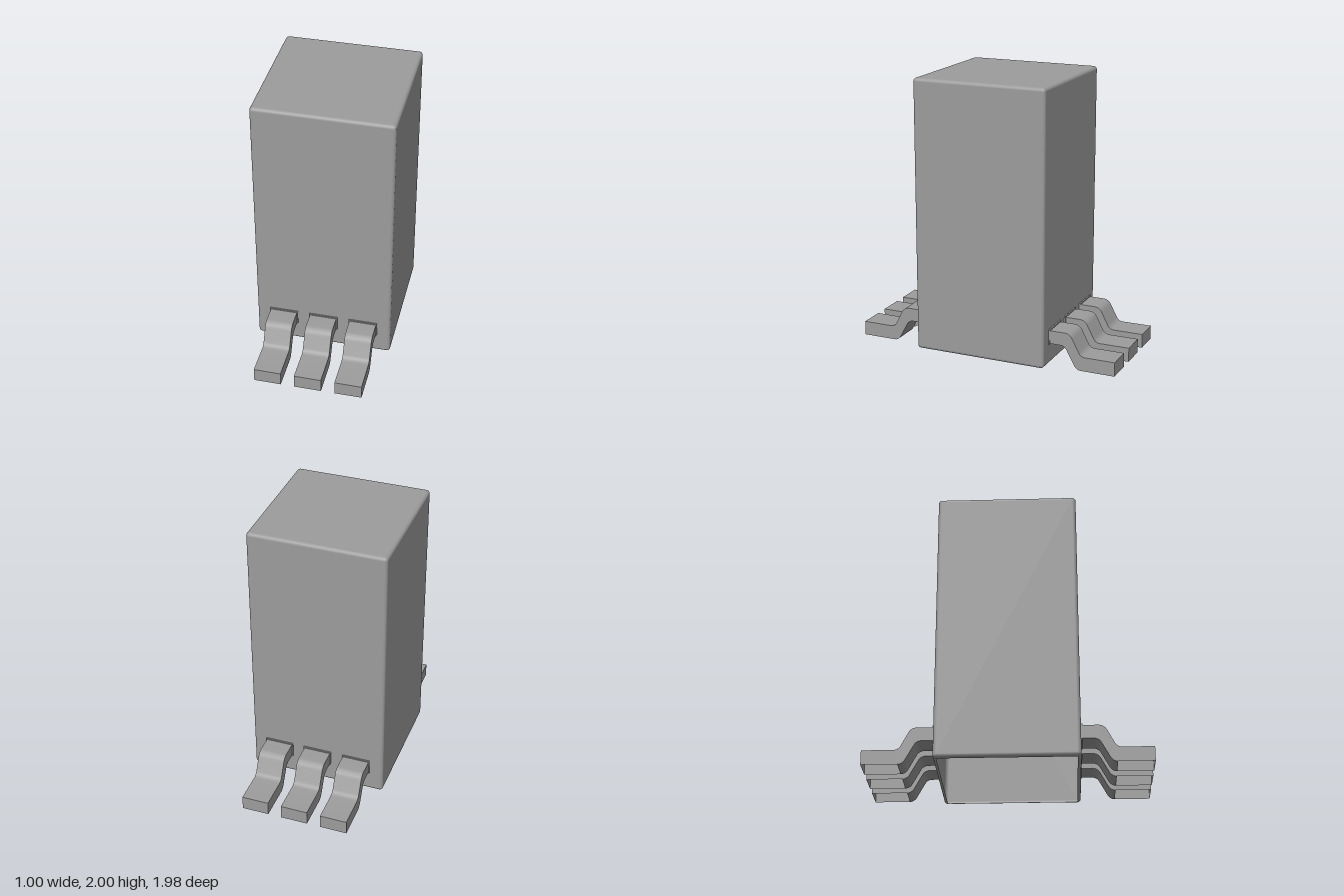
import * as THREE from 'three';
import { toCreasedNormals } from 'three/addons/utils/BufferGeometryUtils.js';
import { RoundedBoxGeometry } from 'three/addons/geometries/RoundedBoxGeometry.js';

const material = new THREE.MeshStandardMaterial({ color: 0x9c9c9c, side: THREE.DoubleSide });

// Drops the flat faces lying on the lowest level, leaving the shell open below
function openBottom(source) {
  const geo = source.index ? source.toNonIndexed() : source;
  geo.computeBoundingBox();
  const floor = geo.boundingBox.min.y + 1e-4;
  const pos = geo.attributes.position, nor = geo.attributes.normal;
  const p = [], n = [];
  for (let i = 0; i < pos.count; i += 3) {
    if ([0, 1, 2].every(k => pos.getY(i + k) < floor)) continue;
    for (let k = i; k < i + 3; k++) {
      p.push(pos.getX(k), pos.getY(k), pos.getZ(k));
      n.push(nor.getX(k), nor.getY(k), nor.getZ(k));
    }
  }
  const out = new THREE.BufferGeometry();
  out.setAttribute('position', new THREE.Float32BufferAttribute(p, 3));
  out.setAttribute('normal', new THREE.Float32BufferAttribute(n, 3));
  return out;
}

// Gull-wing lead: side profile swept across its width
function leadGeometry(width) {
  const s = new THREE.Shape();
  s.moveTo(0.496, 0.167);
  s.lineTo(0.58, 0.167);
  s.quadraticCurveTo(0.615, 0.167, 0.632, 0.137);
  s.lineTo(0.685, 0.04);
  s.quadraticCurveTo(0.705, 0, 0.74, 0);
  s.lineTo(0.99, 0);
  s.lineTo(0.99, 0.103);
  s.lineTo(0.77, 0.103);
  s.quadraticCurveTo(0.738, 0.103, 0.722, 0.133);
  s.lineTo(0.675, 0.223);
  s.quadraticCurveTo(0.655, 0.263, 0.615, 0.263);
  s.lineTo(0.496, 0.263);
  s.closePath();
  const geo = new THREE.ExtrudeGeometry(s, { depth: width, bevelEnabled: false, curveSegments: 8 });
  geo.translate(0, 0, -width / 2).rotateY(-Math.PI / 2);
  return openBottom(toCreasedNormals(geo, 0.6));
}

export function createModel() {
  const model = new THREE.Group();
  model.name = 'surfaceMountPackage';

  const add = (parent, geo, name, x, y, z) => {
    const mesh = new THREE.Mesh(geo, material);
    mesh.name = name;
    mesh.position.set(x, y, z);
    parent.add(mesh);
  };

  // Tall rounded housing, open underneath
  add(model, openBottom(new RoundedBoxGeometry(0.996, 1.992, 0.992, 4, 0.025)), 'body', 0, 1.004, 0);

  // Three leads with collars on the front, and the same on the back
  const lead = leadGeometry(0.197);
  const collar = new THREE.BoxGeometry(0.21, 0.11, 0.01);
  for (const side of ['front', 'back']) {
    const row = new THREE.Group();
    row.name = side + 'Leads';
    row.rotation.y = side === 'back' ? Math.PI : 0;
    for (const x of [-0.296, 0, 0.296]) {
      add(row, lead, 'lead', x, 0, 0);
      add(row, collar, 'leadCollar', x, 0.217, 0.502);
    }
    model.add(row);
  }
  return model;
}
